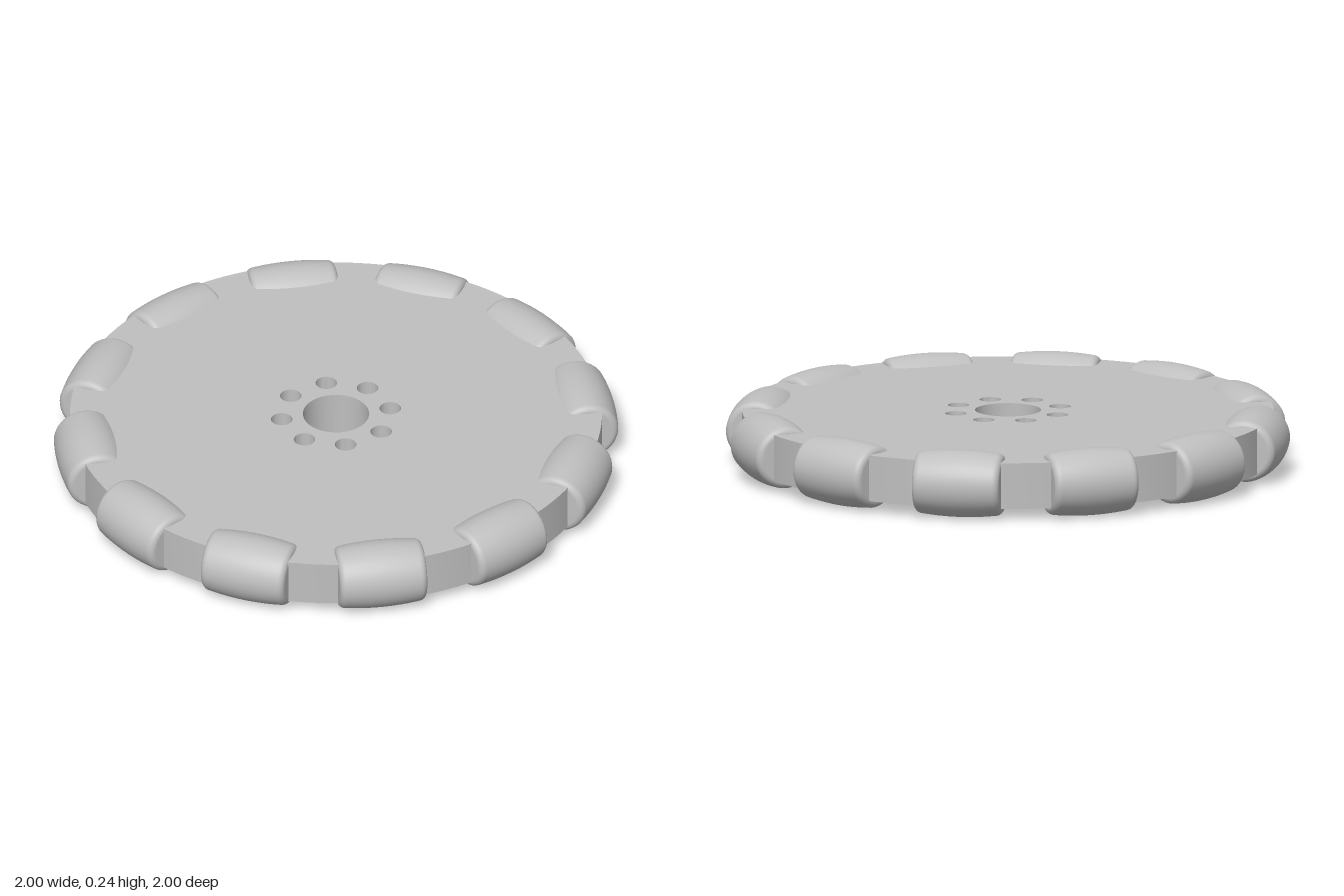
import * as THREE from 'three';
import { toCreasedNormals } from 'three/addons/utils/BufferGeometryUtils.js';

const MID_Y = 0.12;       // height of the wheel's mid plane
const ROLLER_RING = 0.88; // distance of the roller axes from the centre
const ROLLER_R = 0.12;
const ROLLER_HALF = 0.157;

// Circular hole path for the disc
function hole(x, y, r) {
  const path = new THREE.Path();
  path.absarc(x, y, r, 0, Math.PI * 2, true);
  return path;
}

// Disc with a central bore and a ring of bolt holes
function discGeometry() {
  const thickness = 0.165;
  const shape = new THREE.Shape();
  shape.absarc(0, 0, 0.942, 0, Math.PI * 2, false);
  shape.holes.push(hole(0, 0, 0.117));
  for (let i = 0; i < 8; i++) {
    const a = (i / 8) * Math.PI * 2;
    shape.holes.push(hole(Math.cos(a) * 0.195, Math.sin(a) * 0.195, 0.038));
  }
  const geo = new THREE.ExtrudeGeometry(shape, { depth: thickness, bevelEnabled: false, curveSegments: 64 });
  geo.translate(0, 0, -thickness / 2);
  geo.rotateX(-Math.PI / 2);
  return toCreasedNormals(geo, Math.PI / 6);
}

// Barrel roller: its crown follows the wheel's outer circle, with rounded ends
function rollerGeometry() {
  const fillet = 0.025;
  const crown = (y) => Math.sqrt(1 - y * y) - 1 + ROLLER_R;
  const bodyEnd = ROLLER_HALF - fillet;
  const upper = [];
  for (let i = 0; i <= 6; i++) {
    const y = (bodyEnd * i) / 6;
    upper.push(new THREE.Vector2(crown(y), y));
  }
  const r = crown(bodyEnd) - fillet;
  for (let i = 1; i <= 6; i++) {
    const a = (i / 6) * Math.PI / 2;
    upper.push(new THREE.Vector2(r + fillet * Math.cos(a), bodyEnd + fillet * Math.sin(a)));
  }
  upper.push(new THREE.Vector2(0, ROLLER_HALF));
  const lower = upper.slice(1).reverse().map((p) => new THREE.Vector2(p.x, -p.y));
  const geo = new THREE.LatheGeometry([...lower, ...upper], 48);
  geo.rotateZ(Math.PI / 2);
  return geo;
}

export function createModel() {
  const group = new THREE.Group();
  group.name = 'rollerWheel';
  const grey = new THREE.MeshStandardMaterial({ color: 0xbfbfbf });
  grey.name = 'grey';

  const disc = new THREE.Mesh(discGeometry(), grey);
  disc.name = 'disc';
  disc.position.y = MID_Y + 0.005;
  group.add(disc);

  // Twelve rollers, each lying along the rim
  const geo = rollerGeometry();
  for (let i = 0; i < 12; i++) {
    const a = (i / 12) * Math.PI * 2;
    const roller = new THREE.Mesh(geo, grey);
    roller.name = `roller${i + 1}`;
    roller.position.set(Math.sin(a) * ROLLER_RING, MID_Y, Math.cos(a) * ROLLER_RING);
    roller.rotation.y = a;
    group.add(roller);
  }
  return group;
}
